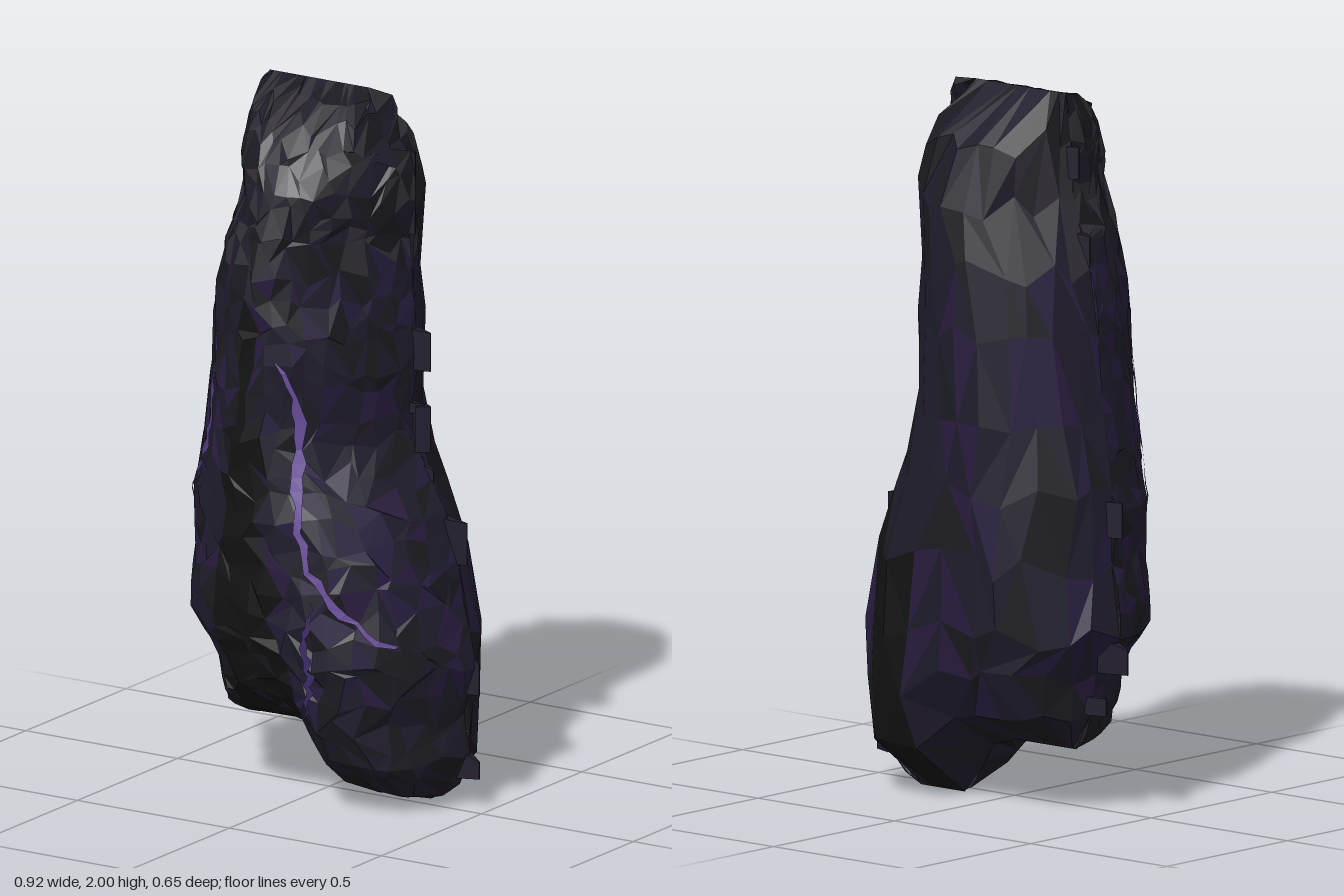
import * as THREE from 'three';

// Rows of the outline: [height, right-hand edge (-x), left-hand edge (+x)]
const ROWS = [
  [0, -0.27, 0.30], [0.03, -0.29, 0.36], [0.09, -0.31, 0.41], [0.15, -0.32, 0.43],
  [0.2, -0.33, 0.42], [0.26, -0.33, 0.41], [0.33, -0.34, 0.43], [0.4, -0.37, 0.45],
  [0.45, -0.40, 0.44], [0.5, -0.43, 0.43], [0.57, -0.43, 0.41], [0.64, -0.42, 0.40],
  [0.7, -0.40, 0.39], [0.76, -0.41, 0.37], [0.83, -0.42, 0.35], [0.9, -0.40, 0.31],
  [0.97, -0.39, 0.27], [1.04, -0.38, 0.24], [1.12, -0.37, 0.24], [1.19, -0.36, 0.25],
  [1.25, -0.35, 0.26], [1.33, -0.35, 0.25], [1.38, -0.35, 0.25], [1.45, -0.34, 0.24],
  [1.52, -0.32, 0.24], [1.59, -0.31, 0.23], [1.64, -0.28, 0.24], [1.7, -0.26, 0.25],
  [1.76, -0.26, 0.25], [1.82, -0.26, 0.24], [1.87, -0.25, 0.20], [1.93, -0.24, 0.19],
  [1.97, -0.24, 0.18], [2, -0.23, 0.10],
];
const SEAM = -0.05;
const { clamp, smoothstep, lerp } = THREE.MathUtils;

// Repeatable noise in 0..1
const noise = (a, b) => {
  const s = Math.sin(a * 127.1 + b * 311.7) * 43758.5453;
  return s - Math.floor(s);
};

function edges(y) {
  let i = 0;
  while (i < ROWS.length - 2 && ROWS[i + 1][0] < y) i++;
  const [a, b] = [ROWS[i], ROWS[i + 1]];
  const k = (y - a[0]) / (b[0] - a[0]);
  return [lerp(a[1], b[1], k), lerp(a[2], b[2], k)];
}

// The foot is higher on the -x side
const footHeight = (x) => 0.17 * (1 - smoothstep(x, 0.0, 0.14));
const liftFoot = (x, y) => (y < 0.5 ? y + footHeight(x) * (1 - y / 0.5) : y);

// Depth grows with the distance from the outline, then levels off
function surfaceZ(x, y, front) {
  const [l, r] = edges(y);
  const across = Math.max(Math.min(x - l, r - x), 1e-4);
  const upright = Math.max(Math.min(liftFoot(x, y) - footHeight(x), 2 - y) * 0.87, 1e-4);
  const inset = Math.pow(across ** -4 + upright ** -4, -0.25);
  const round = Math.pow(1 - (1 - Math.min(inset / 0.32, 1)) ** 2, 0.62);
  const rib = 0.012 * smoothstep(y, 0.5, 0.7) * (1 - smoothstep(y, 1.15, 1.35))
    * (1 - smoothstep(Math.abs(x + 0.04), 0.06, 0.1));
  return SEAM + (front ? 0.36 + rib : -0.27) * round;
}

// j runs from one seam to the other over the front or the back
function bodyPoint(i, j, segments, front) {
  const [y0, l, r] = ROWS[i];
  const onSeam = j === 0 || j === segments;
  const end = i === 0 || i === ROWS.length - 1;
  const t = ((j + (onSeam ? 0 : (noise(i, j) - 0.5) * 0.7)) / segments) * Math.PI;
  const x = (l + r) / 2 + ((r - l) / 2) * Math.cos(t) * (front ? 1 : -1);
  if (end || onSeam) return new THREE.Vector3(x, liftFoot(x, y0), SEAM);
  const y = clamp(y0 + (noise(i + 50, j) - 0.5) * (front ? 0.06 : 0.09), 0, 2);
  const z = surfaceZ(x, y, front) + (noise(i, j + 70) - 0.5) * 0.02;
  return new THREE.Vector3(x, liftFoot(x, y), z);
}

function meshFrom(name, points, color) {
  const geometry = new THREE.BufferGeometry().setFromPoints(points);
  geometry.computeVertexNormals();
  const material = new THREE.MeshStandardMaterial({ color, flatShading: true, side: THREE.DoubleSide });
  const mesh = new THREE.Mesh(geometry, material);
  mesh.name = name;
  return mesh;
}

const SHADES = {
  charcoalRock: 0x1b1a20,
  slateRock: 0x1f1c2b,
  violetRock: 0x281c3e,
  greyCrown: 0x312f36,
  blackFold: 0x131313,
};

// Choose a rock shade by place, broken up with noise
function shadeAt(c, n) {
  const hollow = 0.02 + 0.09 * (1.4 - c.y);
  const frontFold = c.z > 0 && c.y < 1.4 && Math.abs(c.x + 0.08) < hollow;
  const backFold = c.z < -0.1 && c.y < 0.8 && Math.abs(c.x - 0.22) < 0.1;
  if ((frontFold || backFold) && n < 0.9) return 'blackFold';
  if (c.y > 1.55) return n < 0.35 ? 'greyCrown' : n < 0.7 ? 'charcoalRock' : 'slateRock';
  if (c.y < 0.3) return n < 0.65 ? 'charcoalRock' : 'slateRock';
  return n < 0.22 ? 'violetRock' : n < 0.75 ? 'slateRock' : 'charcoalRock';
}

// One half of the rock: finely broken in front, in large facets behind
function addHalf(group, front, rowStep, segments) {
  const faces = Object.fromEntries(Object.keys(SHADES).map((k) => [k, []]));
  for (let i = 0; i < ROWS.length - 1; i += rowStep) {
    for (let j = 0; j < segments; j++) {
      const [a, b] = [j, j + 1].map((k) => bodyPoint(i, k, segments, front));
      const [c, d] = [j, j + 1].map((k) => bodyPoint(i + rowStep, k, segments, front));
      const pair = noise(j, i) < 0.5 ? [[a, c, b], [b, c, d]] : [[a, c, d], [a, d, b]];
      pair.forEach((tri, k) => {
        const centre = tri[0].clone().add(tri[1]).add(tri[2]).divideScalar(3);
        faces[shadeAt(centre, noise(i + k * 0.3, j + 9))].push(...tri);
      });
    }
  }
  for (const name in SHADES) {
    if (faces[name].length) group.add(meshFrom(name + (front ? 'Front' : 'Back'), faces[name], SHADES[name]));
  }
}

// Glowing crack: a jagged ribbon laid on the front
function addVein(group, name, path, width, color) {
  const curve = new THREE.CatmullRomCurve3(path.map(([x, y]) => new THREE.Vector3(x, y, 0)));
  const steps = 24, sides = [];
  for (let i = 0; i <= steps; i++) {
    const p = curve.getPointAt(i / steps), t = curve.getTangentAt(i / steps);
    const w = width * (0.3 + 0.7 * noise(i, path.length)) * Math.sin(Math.PI * (0.08 + 0.84 * i / steps));
    const kink = (noise(i, 33) - 0.5) * 0.02;
    sides.push([1, -1].map((s) => {
      const x = p.x - t.y * (w * s + kink), y = p.y + t.x * (w * s + kink);
      return new THREE.Vector3(x, liftFoot(x, y), surfaceZ(x, y, true) + 0.01);
    }));
  }
  const points = [];
  for (let i = 0; i < steps; i++) {
    const [a, b] = sides[i], [c, d] = sides[i + 1];
    points.push(a, b, c, b, d, c);
  }
  group.add(meshFrom(name, points, color));
}

// Wedge-shaped splinter on the side seam, thin at its outer edge
function addSplinter(group, outerX, y, w, h, slant) {
  const side = Math.sign(outerX);
  const geometry = new THREE.BoxGeometry(w, h, 0.05);
  const p = geometry.attributes.position;
  for (let i = 0; i < p.count; i++) {
    if (p.getX(i) * side > 0) {
      p.setZ(i, p.getZ(i) * 0.08);
      if (p.getY(i) > 0) p.setY(i, h / 2 - slant);
    }
  }
  geometry.computeVertexNormals();
  const mesh = new THREE.Mesh(geometry, new THREE.MeshStandardMaterial({ color: SHADES.slateRock, flatShading: true }));
  mesh.name = 'edgeSplinter';
  mesh.position.set(outerX - side * w / 2, y, SEAM);
  group.add(mesh);
}

export function createModel() {
  const group = new THREE.Group();
  group.name = 'crackedRockPillar';
  addHalf(group, true, 1, 20);
  addHalf(group, false, 3, 12);

  const left = [[0.03, 1.29], [0.07, 1.18], [0.085, 1.0], [0.1, 0.85], [0.13, 0.72], [0.22, 0.6], [0.34, 0.49]];
  const right = [[-0.2, 1.36], [-0.22, 1.2], [-0.22, 1.07], [-0.27, 0.95], [-0.38, 0.8]];
  const low = [[0.15, 0.62], [0.13, 0.5], [0.14, 0.4], [0.12, 0.26]];
  addVein(group, 'leftVein', left, 0.02, 0x6a4f9c);
  addVein(group, 'rightVein', right, 0.018, 0x513b80);
  addVein(group, 'lowerVein', low, 0.015, 0x3c2a66);

  // Splinters: outer x, height of the middle, width, height, slant of the top
  const splinters = [
    [0.46, 0.38, 0.06, 0.12, 0.03], [0.46, 0.12, 0.06, 0.08, 0.03], [0.42, 0.75, 0.1, 0.13, 0.01],
    [0.31, 0.93, 0.06, 0.08, 0.03], [0.3, 1.055, 0.035, 0.13, 0], [0.28, 1.11, 0.08, 0.03, 0],
    [0.3, 1.28, 0.08, 0.12, 0.01], [0.25, 1.65, 0.05, 0.09, 0.02], [0.25, 1.79, 0.05, 0.1, 0],
    [-0.28, 1.81, 0.05, 0.09, 0], [-0.32, 1.55, 0.05, 0.14, 0.01], [-0.44, 0.83, 0.06, 0.1, 0],
    [-0.46, 0.45, 0.09, 0.1, 0.03], [-0.38, 0.3, 0.08, 0.05, 0],
  ];
  splinters.forEach((s) => addSplinter(group, ...s));
  return group;
}
